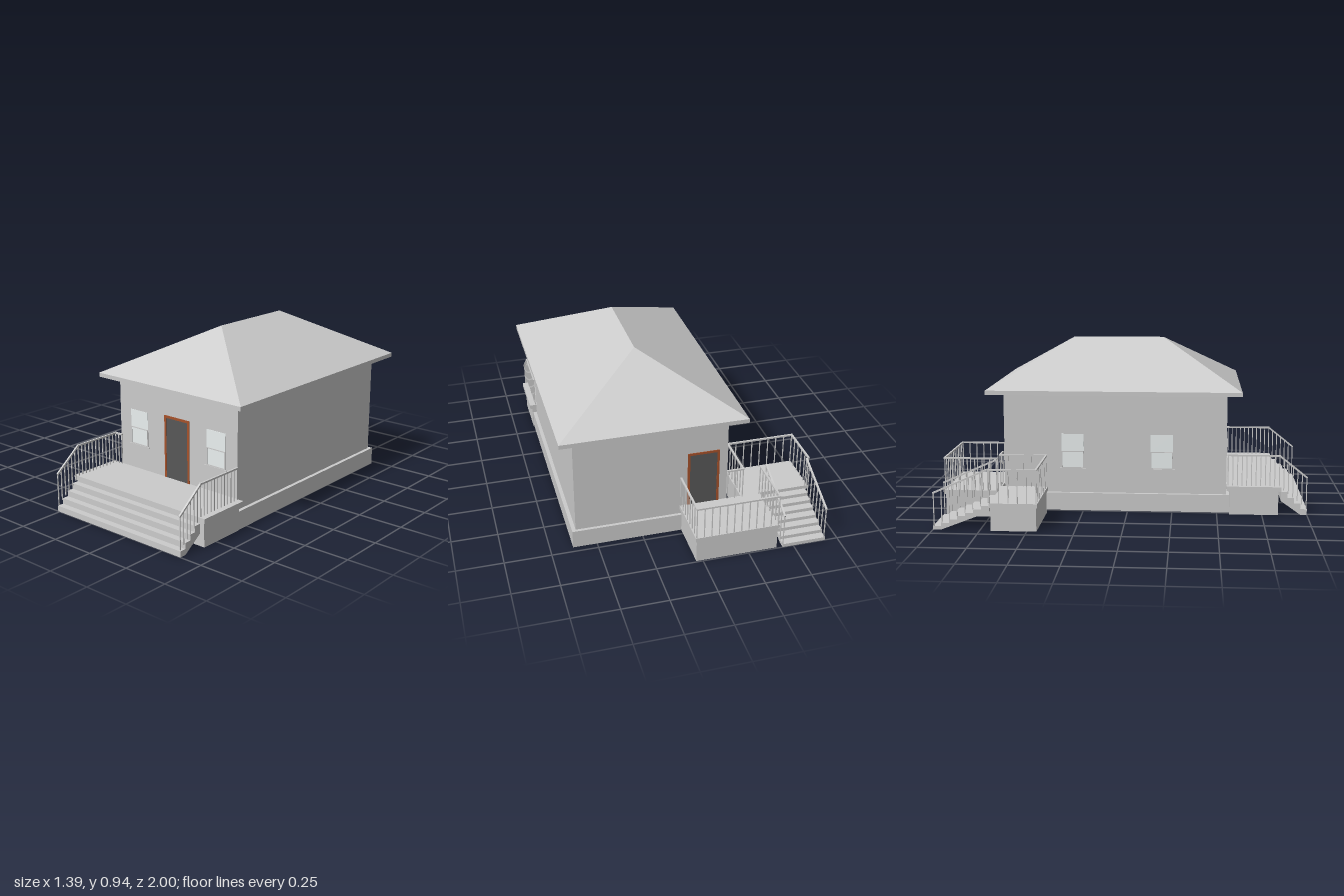
import * as THREE from 'three';
import { ConvexGeometry } from 'three/addons/geometries/ConvexGeometry.js';

const mat = (color) => new THREE.MeshStandardMaterial({ color, flatShading: true });
const grey = mat(0xcccccc), brown = mat(0xa5512a), dark = mat(0x585858), glass = mat(0xeaf0f0);

function add(parent, name, geometry, material = grey) {
  const mesh = new THREE.Mesh(geometry, material);
  mesh.name = name;
  parent.add(mesh);
  return mesh;
}

// Box from its minimum and maximum corners
function box(parent, name, [x0, y0, z0], [x1, y1, z1], material) {
  const geometry = new THREE.BoxGeometry(x1 - x0, y1 - y0, z1 - z0);
  geometry.translate((x0 + x1) / 2, (y0 + y1) / 2, (z0 + z1) / 2);
  return add(parent, name, geometry, material);
}

// Move every corner of a right-angled outline inwards
function inset(points, d) {
  const v = points.map(([x, y]) => new THREE.Vector2(x, y));
  const sign = Math.sign(THREE.ShapeUtils.area(v));
  return v.map((p, i) => {
    const a = p.clone().sub(v.at(i - 1)).normalize();
    const b = v[(i + 1) % v.length].clone().sub(p).normalize();
    return [p.x - (a.y + b.y) * d * sign, p.y + (a.x + b.x) * d * sign];
  });
}

const rect = (x0, x1, z0, z1) => [[x0, z0], [x1, z0], [x1, z1], [x0, z1]];

// Upright prism over an [x, z] outline; a wall thickness makes it a hollow ring
function prism(parent, name, outline, y0, y1, thickness = 0) {
  const toPoints = (list) => list.map(([x, z]) => new THREE.Vector2(x, -z));
  const shape = new THREE.Shape(toPoints(outline));
  // The hole winds the opposite way so that its walls face inwards
  if (thickness) shape.holes.push(new THREE.Path(toPoints(inset(outline, thickness)).reverse()));
  const geometry = new THREE.ExtrudeGeometry(shape, { depth: y1 - y0, bevelEnabled: false });
  geometry.rotateX(-Math.PI / 2).translate(0, y0, 0);
  return add(parent, name, geometry);
}

// Thin sawtooth stairs going down from z0 to z1
function stairs(parent, name, x0, x1, z0, z1, top, risers) {
  const run = (z1 - z0) / (risers - 1), rise = top / risers;
  const points = [[z0, top - rise]];
  for (let i = 1; i < risers; i++) {
    points.push([z0 + i * run, top - i * rise], [z0 + i * run, top - (i + 1) * rise]);
  }
  points.push([z1 - run, 0], [z0, top - 2.6 * rise]);
  const shape = new THREE.Shape(points.map(([z, y]) => new THREE.Vector2(-z, y)));
  const geometry = new THREE.ExtrudeGeometry(shape, { depth: x1 - x0, bevelEnabled: false });
  geometry.rotateY(Math.PI / 2).translate(x0, 0, 0);
  return add(parent, name, geometry);
}

// Railing along a path of points on the handrail; balusters drop by height
function railing(parent, name, path, height, gap) {
  const group = new THREE.Group();
  group.name = name;
  parent.add(group);
  for (let i = 0; i < path.length - 1; i++) {
    const a = new THREE.Vector3(...path[i]), b = new THREE.Vector3(...path[i + 1]);
    const rail = add(group, 'handrail', new THREE.BoxGeometry(0.01, 0.009, a.distanceTo(b) + 0.008));
    rail.position.lerpVectors(a, b, 0.5);
    rail.lookAt(b);
    const count = Math.max(1, Math.round(Math.hypot(b.x - a.x, b.z - a.z) / gap));
    for (let k = i ? 1 : 0; k <= count; k++) {
      const baluster = add(group, 'baluster', new THREE.BoxGeometry(0.005, height, 0.005));
      baluster.position.lerpVectors(a, b, k / count);
      baluster.position.y -= height / 2;
    }
  }
}

function opening(parent, name, x, y, z, turn) {
  const group = new THREE.Group();
  group.name = name;
  group.position.set(x, y, z);
  group.rotation.y = turn;
  parent.add(group);
  return group;
}

// Door with a frame, running through the wall
function door(parent, name, x, y, z, turn, height) {
  const g = opening(parent, name, x, y, z, turn), w = 0.0875, f = 0.013;
  box(g, 'doorPanel', [-w + f, 0, -0.022], [w - f, height - f, 0.002], dark);
  for (const s of [-w, w - f]) box(g, 'doorJamb', [s, 0, -0.024], [s + f, height, 0.004], brown);
  box(g, 'doorHead', [-w + f, height - f, -0.024], [w - f, height, 0.004], brown);
}

// Sash window with a thin sill
function sashWindow(parent, name, x, y, z, turn) {
  const g = opening(parent, name, x, y, z, turn), w = 0.0625, h = 0.195, f = 0.005;
  box(g, 'upperSash', [-w, h / 2, -0.023], [w, h, 0.002], glass);
  box(g, 'lowerSash', [-w + f, f, -0.023], [w - f, h / 2 - f, 0.002], glass);
  for (const s of [-w, w - f]) box(g, 'sashStile', [s, 0, -0.024], [s + f, h / 2, 0.005]);
  for (const y0 of [0, h / 2 - f]) box(g, 'sashRail', [-w + f, y0, -0.024], [w - f, y0 + f, 0.005]);
  box(g, 'sill', [-w - 0.012, -0.004, -0.02], [w + 0.012, 0, 0.008]);
}

export function createModel() {
  const house = new THREE.Group();
  house.name = 'house';

  // Hollow foundation and walls
  prism(house, 'foundation', rect(-0.24, 0.63, -0.715, 0.57), 0, 0.1, 0.035);
  prism(house, 'walls', rect(-0.22, 0.61, -0.698, 0.553), 0.1, 0.668, 0.02);

  // Hipped roof with a thin fascia
  const roof = [[0.195, 0.945, -0.34], [0.195, 0.945, 0.185]];
  for (const y of [0.664, 0.687]) for (const [x, z] of rect(-0.3, 0.691, -0.786, 0.632)) roof.push([x, y, z]);
  add(house, 'roof', new ConvexGeometry(roof.map((p) => new THREE.Vector3(...p))));

  // Doors and windows
  door(house, 'frontDoor', 0.198, 0.16, 0.553, 0, 0.35);
  door(house, 'backDoor', -0.088, 0.15, -0.698, Math.PI, 0.32);
  for (const x of [-0.076, 0.468]) sashWindow(house, 'frontWindow', x, 0.3, 0.553, 0);
  for (const z of [-0.31, 0.19]) sashWindow(house, 'sideWindow', -0.22, 0.24, z, -Math.PI / 2);

  // Front porch with steps across its width
  prism(house, 'porchBase', rect(-0.278, 0.634, 0.57, 0.84), 0, 0.135, 0.03);
  box(house, 'porchSlab', [-0.283, 0.135, 0.553], [0.65, 0.16, 0.855]);
  stairs(house, 'frontSteps', -0.262, 0.62, 0.855, 1, 0.16, 5);
  const porchRail = (x) => [[x, 0.332, 0.562], [x, 0.332, 0.845], [x, 0.212, 0.996]];
  railing(house, 'porchRightRailing', [[-0.21, 0.332, 0.562], ...porchRail(-0.257)], 0.175, 0.025);
  railing(house, 'porchLeftRailing', porchRail(0.615), 0.175, 0.025);

  // Back landing stepping out past the corner of the house
  const landing = [[-0.695, -0.442], [-0.303, -0.442], [-0.303, -0.698], [0.042, -0.698],
    [0.042, -1], [-0.415, -1], [-0.415, -0.698], [-0.695, -0.698]];
  prism(house, 'landingBase', inset(landing, 0.007), 0, 0.127, 0.03);
  prism(house, 'landingSlab', landing, 0.127, 0.15);
  stairs(house, 'backSteps', -0.68, -0.44, -0.698, -1, 0.15, 8);

  // Landing and back stair railings
  const y = 0.328;
  railing(house, 'landingSideRailing', [[-0.224, y, -0.706], [-0.31, y, -0.706], [-0.31, y, -0.448],
    [-0.689, y, -0.448], [-0.689, y, -0.694]], 0.18, 0.045);
  railing(house, 'landingBackRailing',
    [[0.036, y, -0.706], [0.036, y, -0.994], [-0.408, y, -0.994], [-0.408, y, -0.704]], 0.18, 0.04);
  for (const x of [-0.675, -0.442]) {
    railing(house, 'backStairRailing', [[x, y, -0.703], [x, 0.198, -0.994]], 0.18, 0.042);
  }
  return house;
}
